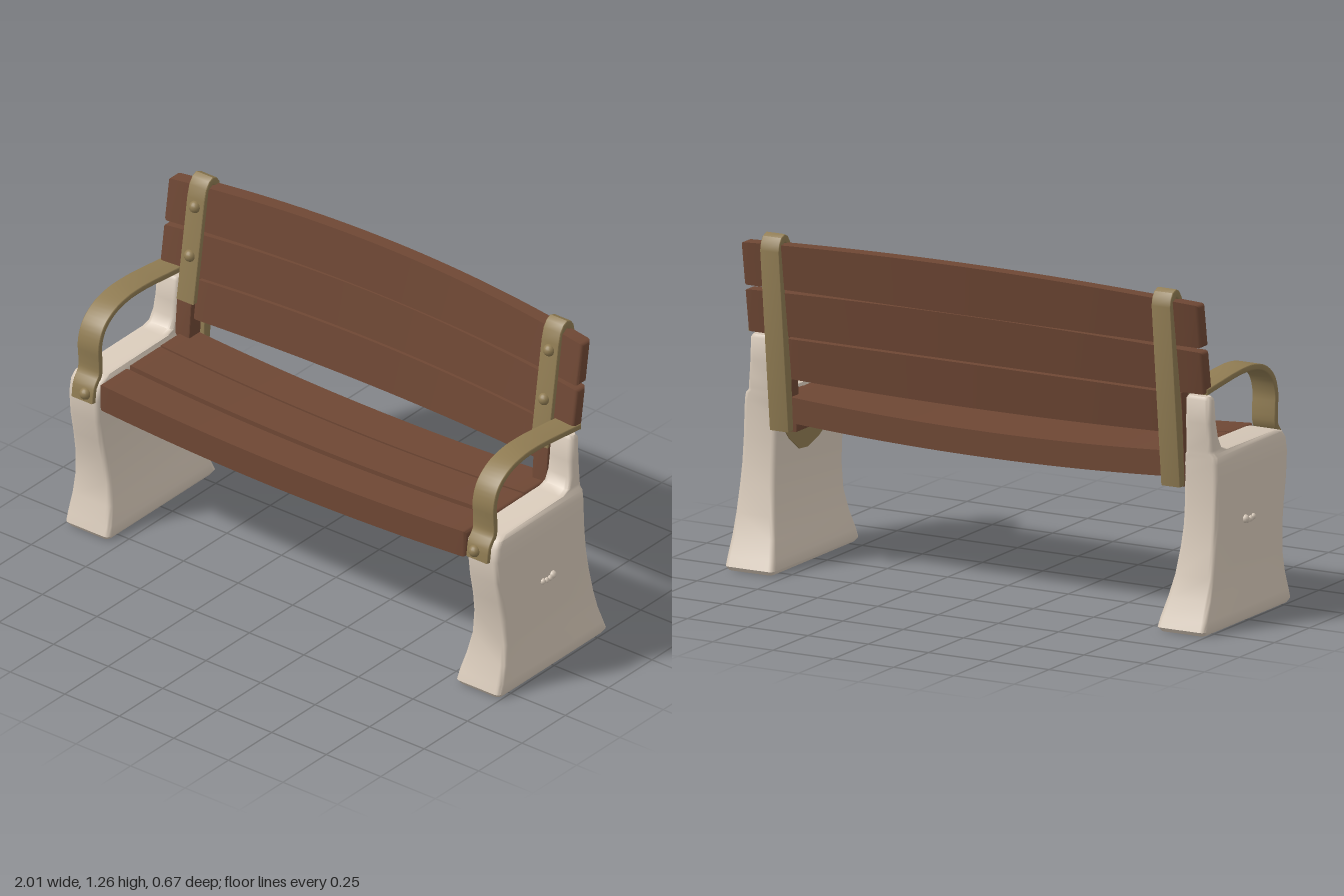
import * as THREE from 'three';
import { toCreasedNormals } from 'three/addons/utils/BufferGeometryUtils.js';

const wood = new THREE.MeshStandardMaterial({ color: 0x6e4734 });
wood.name = 'brown wood';
const metal = new THREE.MeshStandardMaterial({ color: 0x8f7b52 });
metal.name = 'aged brass';
const stone = new THREE.MeshStandardMaterial({ color: 0xd6c8b8 });
stone.name = 'pale concrete';

const lerp = THREE.MathUtils.lerp;

function addMesh(parent, name, geometry, material) {
  const mesh = new THREE.Mesh(geometry, material);
  mesh.name = name;
  parent.add(mesh);
  return mesh;
}

// Extrude a (y, z) outline along x between x0 and x1, with bevelled edges
function extrudeX(points, x0, x1, steps = 1, bevel = 0.005) {
  const shape = new THREE.Shape(points.map(([y, z]) => new THREE.Vector2(y, z)));
  const geo = new THREE.ExtrudeGeometry(shape, {
    depth: x1 - x0 - 2 * bevel, steps, bevelEnabled: bevel > 0,
    bevelThickness: bevel, bevelSize: bevel, bevelOffset: -bevel, bevelSegments: 3,
  });
  const p = geo.attributes.position;
  for (let i = 0; i < p.count; i++) {
    p.setXYZ(i, p.getZ(i) + x0 + bevel, p.getX(i), p.getY(i));
  }
  return geo;
}

// Same outline placed on the chosen side of the bench
function sideExtrude(points, x0, x1, side, bevel) {
  const geo = side > 0 ? extrudeX(points, x0, x1, 1, bevel) : extrudeX(points, -x1, -x0, 1, bevel);
  return toCreasedNormals(geo, 0.6);
}

// Wooden plank: unit-less box bent by a rule place(x, y, z) -> [y, z]
function plank(halfLength, y0, y1, z0, z1, place) {
  const geo = extrudeX([[y0, z0], [y1, z0], [y1, z1], [y0, z1]], -halfLength, halfLength, 28, 0.014);
  const p = geo.attributes.position;
  for (let i = 0; i < p.count; i++) {
    const x = p.getX(i);
    p.setXYZ(i, x, ...place(x, p.getY(i), p.getZ(i)));
  }
  return toCreasedNormals(geo, 0.6);
}

// Front face of the leaning backrest at height y
const backFace = (y) => -0.17 - (y - 0.86) * 0.155;

// End support cross-sections: y, front z, back z, inner x, outer x
const LEG_ROWS = [
  [0, 0.305, -0.305, 0.805, 0.988], [0.015, 0.315, -0.315, 0.795, 0.997],
  [0.05, 0.304, -0.3, 0.799, 0.997], [0.12, 0.28, -0.27, 0.813, 0.995],
  [0.2, 0.267, -0.247, 0.829, 0.992], [0.3, 0.272, -0.226, 0.84, 0.989],
  [0.38, 0.286, -0.213, 0.845, 0.987], [0.47, 0.304, -0.205, 0.845, 0.986],
  [0.56, 0.312, -0.202, 0.843, 0.985], [0.61, 0.305, -0.202, 0.838, 0.983],
  [0.635, 0.288, -0.203, 0.842, 0.978], [0.645, 0.255, -0.204, 0.85, 0.968],
  [0.648, -0.085, -0.204, 0.85, 0.966], [0.66, -0.122, -0.205, 0.85, 0.965],
  [0.7, -0.142, -0.205, 0.85, 0.962], [0.76, -0.151, -0.206, 0.85, 0.958],
  [0.845, -0.157, -0.206, 0.851, 0.955], [0.857, -0.165, -0.2, 0.858, 0.947],
];

// Loft rounded rectangles through the rows
function legGeometry(side) {
  const pos = [], index = [], perCorner = 5, n = perCorner * 4, r = 0.02;
  for (const [y, zf, zb, xi, xo] of LEG_ROWS) {
    for (let c = 0; c < 4; c++) {
      const cx = c === 0 || c === 3 ? xo - r : xi + r;
      const cz = c < 2 ? zf - r : zb + r;
      for (let k = 0; k < perCorner; k++) {
        const a = (c + k / (perCorner - 1)) * Math.PI / 2;
        pos.push(side * (cx + r * Math.cos(a)), y, cz + r * Math.sin(a));
      }
    }
  }
  const tri = (a, b, c) => (side > 0 ? index.push(a, b, c) : index.push(a, c, b));
  const top = (LEG_ROWS.length - 1) * n;
  for (let i = 0; i < LEG_ROWS.length - 1; i++) {
    for (let j = 0; j < n; j++) {
      const a = i * n + j, b = i * n + (j + 1) % n;
      tri(a, a + n, b + n);
      tri(a, b + n, b);
    }
  }
  for (let j = 1; j < n - 1; j++) {
    tri(0, j, j + 1);
    tri(top, top + j + 1, top + j);
  }
  const geo = new THREE.BufferGeometry();
  geo.setAttribute('position', new THREE.Float32BufferAttribute(pos, 3));
  geo.setIndex(index);
  return toCreasedNormals(geo, 0.8);
}

// Flat bar of even thickness following a (y, z) path
function barOutline(path, thickness) {
  const curve = new THREE.CatmullRomCurve3(path.map(([y, z]) => new THREE.Vector3(y, z, 0)));
  const front = [], back = [];
  for (let i = 0; i <= 44; i++) {
    const p = curve.getPointAt(i / 44), t = curve.getTangentAt(i / 44);
    const h = thickness / 2;
    front.push([p.x - t.y * h, p.y + t.x * h]);
    back.unshift([p.x + t.y * h, p.y - t.x * h]);
  }
  return [...front, ...back];
}

// Domed bolt facing forward
function addBolt(parent, x, y, z) {
  const bolt = addMesh(parent, 'bolt', new THREE.SphereGeometry(0.023, 16, 10), metal);
  bolt.position.set(x, y, z);
}

export function createModel() {
  const bench = new THREE.Group();
  bench.name = 'parkBench';

  // Backrest slats: half length, bottom, top, rise of bottom and top at the middle
  const backSlats = [
    [0.95, 1.05, 1.212, 0.015, 0.038],
    [0.95, 0.872, 1.032, 0.014, 0.03],
    [0.79, 0.715, 0.862, -0.005, 0.016],
  ];
  for (const [half, y0, y1, riseLow, riseHigh] of backSlats) {
    const geo = plank(half, y0, y1, -0.053, 0, (x, y, z) => {
      const k = 1 - (x / 0.95) ** 2;
      return [y + k * lerp(riseLow, riseHigh, (y - y0) / (y1 - y0)), backFace(y) - 0.05 * k + z];
    });
    addMesh(bench, 'backSlat', geo, wood);
  }

  // Seat slats: back z, front z, bottom, top; they sag a little in the middle
  const seatSlats = [[-0.2, -0.036, 0.55, 0.645], [-0.03, 0.14, 0.54, 0.643], [0.16, 0.31, 0.535, 0.64]];
  for (const [z0, z1, y0, y1] of seatSlats) {
    const geo = plank(0.84, y0, y1, z0, z1, (x, y, z) => [y - 0.03 * (1 - (x / 0.84) ** 2), z]);
    addMesh(bench, 'seatSlat', geo, wood);
  }

  for (const side of [1, -1]) {
    const end = new THREE.Group();
    end.name = side > 0 ? 'leftEnd' : 'rightEnd';
    bench.add(end);

    // Concrete support with a small cast ornament on its outer face
    addMesh(end, 'endSupport', legGeometry(side), stone);
    [[0.05, 0.37, 0.012], [0.03, 0.366, 0.012], [0.01, 0.366, 0.012], [-0.006, 0.373, 0.016]].forEach(([z, y, r]) => {
      const bead = addMesh(end, 'castBead', new THREE.SphereGeometry(r, 10, 8), stone);
      bead.position.set(side * 0.987, y, z);
    });

    // Clamp strap folded over the top of the backrest
    const strap = [
      [0.78, -0.15], [1.18, -0.212], [1.225, -0.224], [1.25, -0.242], [1.26, -0.263],
      [1.25, -0.287], [1.23, -0.301], [1.2, -0.307], [0.52, -0.237], [0.52, -0.203],
      [0.8, -0.222], [1.215, -0.288], [1.23, -0.262], [1.215, -0.238], [0.78, -0.172],
    ];
    addMesh(end, 'backStrap', sideExtrude(strap, 0.772, 0.852, side, 0.004), metal);

    // Wooden upright below the strap, and bearer under the seat
    const upright = [[0.56, -0.135], [0.78, -0.153], [0.87, -0.172], [0.87, -0.225], [0.56, -0.2]];
    addMesh(end, 'upright', sideExtrude(upright, 0.785, 0.852, side, 0.004), wood);
    const bearer = [[0.515, -0.2], [0.515, 0.2], [0.56, 0.24], [0.56, -0.2]];
    addMesh(end, 'seatBearer', sideExtrude(bearer, 0.76, 0.85, side, 0.004), wood);

    // Metal plate on the inner face below the seat
    const plate = [[0.54, -0.18], [0.54, 0.25], [0.48, 0.19], [0.43, 0.1], [0.405, 0.02], [0.41, -0.04], [0.46, -0.11]];
    addMesh(end, 'innerPlate', sideExtrude(plate, 0.841, 0.847, side, 0), metal);

    // Bent armrest bar
    const arm = [
      [0.88, -0.215], [0.893, -0.1], [0.904, 0.02], [0.902, 0.12], [0.88, 0.2], [0.835, 0.257],
      [0.77, 0.281], [0.71, 0.278], [0.655, 0.28], [0.615, 0.307], [0.555, 0.317],
    ];
    addMesh(end, 'armrest', sideExtrude(barOutline(arm, 0.022), 0.856, 0.954, side, 0.004), metal);

    addBolt(end, side * 0.812, 1.15, -0.209);
    addBolt(end, side * 0.812, 0.96, -0.18);
    addBolt(end, side * 0.892, 0.588, 0.322);
  }
  return bench;
}
